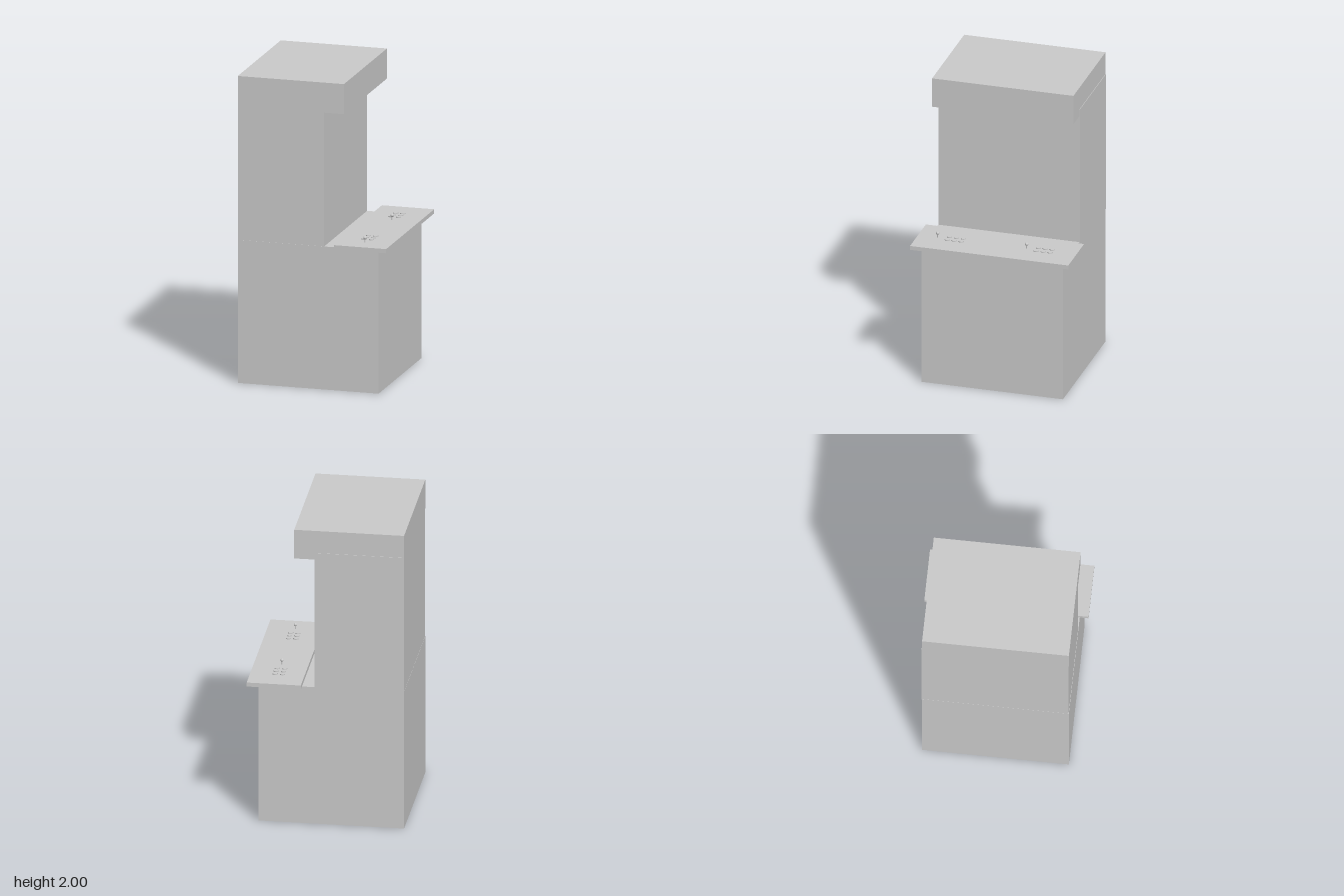
import * as THREE from 'three';

const material = new THREE.MeshStandardMaterial({ color: 0xcccccc });

export function createModel() {
  const model = new THREE.Group();
  model.name = 'arcadeCabinet';

  const add = (name, geometry, x, y, z, parent = model) => {
    const mesh = new THREE.Mesh(geometry, material);
    mesh.name = name;
    mesh.position.set(x, y, z);
    parent.add(mesh);
  };
  // Box given by its lower and upper limits on each axis
  const addBox = (name, [x0, x1], [y0, y1], [z0, z1]) =>
    add(name, new THREE.BoxGeometry(x1 - x0, y1 - y0, z1 - z0),
      (x0 + x1) / 2, (y0 + y1) / 2, (z0 + z1) / 2);

  // Cabinet body
  addBox('base', [-0.498, 0.43], [0, 0.932], [-0.466, 0.465]);
  addBox('screenHousing', [-0.497, 0.071], [0.92, 1.85], [-0.469, 0.463]);
  addBox('marquee', [-0.498, 0.202], [1.804, 2], [-0.466, 0.465]);

  // Overhanging control panel
  addBox('controlPanel', [0.152, 0.497], [0.934, 0.961], [-0.521, 0.521]);

  // One set of controls per player: six buttons and a joystick
  const button = new THREE.CylinderGeometry(0.017, 0.017, 0.012, 32);
  const stick = new THREE.CylinderGeometry(0.003, 0.003, 0.03, 16);
  const ball = new THREE.SphereGeometry(0.0105, 24, 16);
  [['rightControls', 0.277, 0.393], ['leftControls', -0.309, -0.193]].forEach(([name, buttonZ, stickZ]) => {
    const controls = new THREE.Group();
    controls.name = name;
    model.add(controls);
    for (const x of [0.293, 0.34])
      for (const dz of [-0.046, 0, 0.046]) add('button', button, x, 0.961, buttonZ + dz, controls);
    add('joystickShaft', stick, 0.319, 0.973, stickZ, controls);
    add('joystickBall', ball, 0.319, 0.99, stickZ, controls);
  });

  return model;
}
